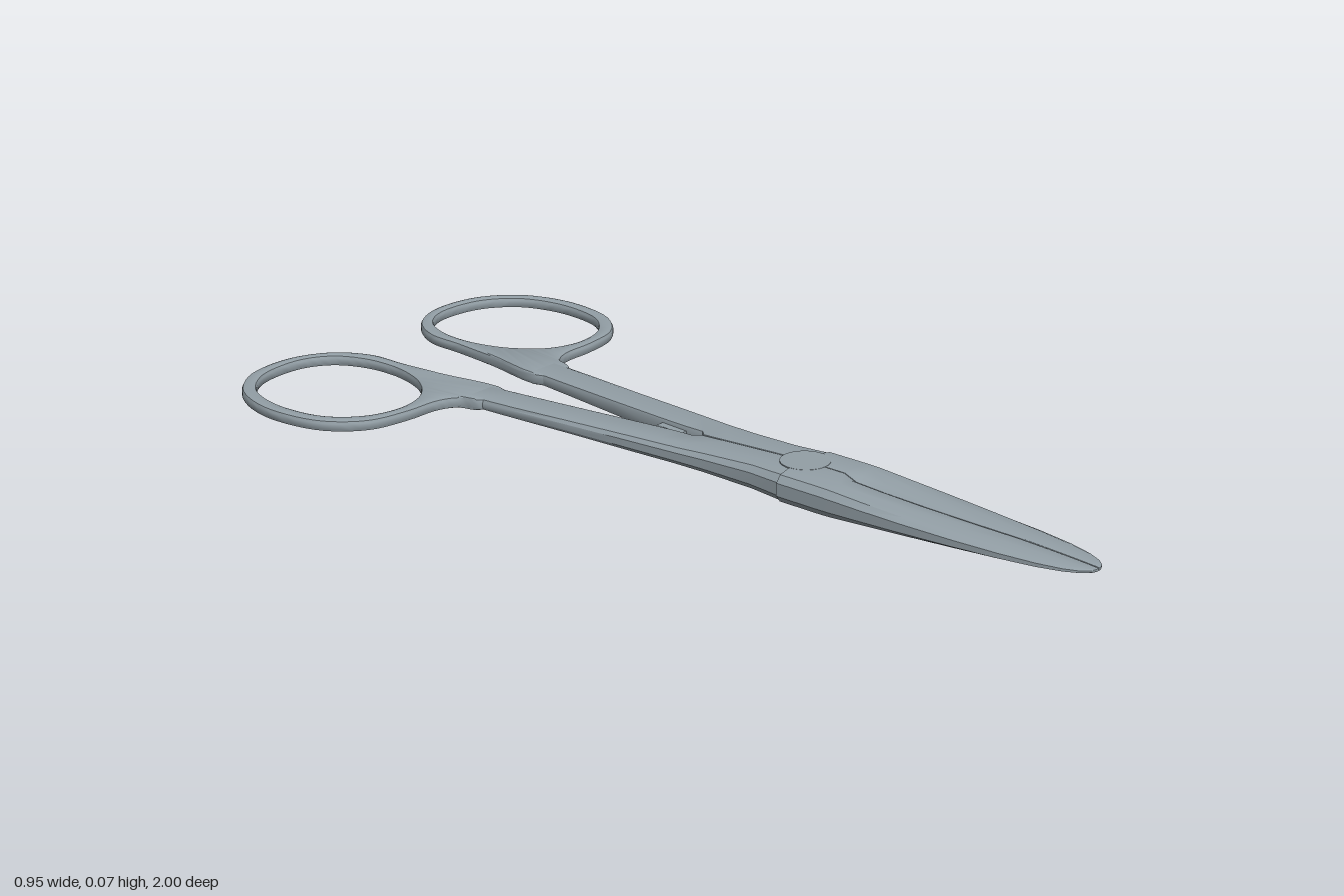
import * as THREE from 'three';
import { toCreasedNormals } from 'three/addons/utils/BufferGeometryUtils.js';

const MID = 0.0355; // height of the middle plane

// Rounded section from point a to point b (x, z), half height h,
// with corner sizes [run, rise] at each end.
function section(a, b, h, cornerA, cornerB) {
  const w = Math.hypot(b[0] - a[0], b[1] - a[1]);
  const top = [];
  for (let k = 0; k < 3; k++) {
    const t = (k * Math.PI) / 4;
    top.push([cornerA[0] * (1 - Math.cos(t)), h - cornerA[1] * (1 - Math.sin(t))]);
  }
  for (let k = 0; k < 3; k++) {
    const t = (k * Math.PI) / 4;
    top.push([w - cornerB[0] * (1 - Math.sin(t)), h - cornerB[1] * (1 - Math.cos(t))]);
  }
  const loop = top.concat(top.map(([d, y]) => [d, -y]).reverse());
  return loop.map(([d, y]) => {
    const f = d / w;
    return [a[0] + (b[0] - a[0]) * f, MID + y, a[1] + (b[1] - a[1]) * f];
  });
}

// Skin a list of sections; side = -1 mirrors the part in x.
function loft(sections, side, closed, reversed) {
  const n = sections[0].length, m = sections.length;
  const position = sections.flat().flatMap(([x, y, z]) => [x * side, y, z]);
  const index = [];
  const flip = (side < 0) !== reversed;
  const tri = (a, b, c) => (flip ? index.push(a, c, b) : index.push(a, b, c));
  for (let i = 0; i < (closed ? m : m - 1); i++) {
    const p = i * n, q = ((i + 1) % m) * n;
    for (let j = 0; j < n; j++) {
      const k = (j + 1) % n;
      tri(p + j, p + k, q + k);
      tri(p + j, q + k, q + j);
    }
  }
  if (!closed) {
    const e = (m - 1) * n;
    for (let j = 1; j < n - 1; j++) {
      tri(0, j + 1, j);
      tri(e, e + j, e + j + 1);
    }
  }
  const g = new THREE.BufferGeometry();
  g.setAttribute('position', new THREE.Float32BufferAttribute(position, 3));
  g.setIndex(index);
  return toCreasedNormals(g, 0.6);
}

// z, inner x, outer x, half height, outer bevel run, hollow run, hollow depth
const BLADE = [
  [1.0, 0.001, 0.008, 0.003, 0.004, 0.001, 0.001],
  [0.994, 0.001, 0.02, 0.004, 0.01, 0.001, 0.001],
  [0.98, 0.001, 0.033, 0.005, 0.018, 0.001, 0.001],
  [0.95, 0.001, 0.047, 0.007, 0.026, 0.001, 0.001],
  [0.9, 0.001, 0.06, 0.0095, 0.034, 0.001, 0.001],
  [0.82, 0.001, 0.072, 0.013, 0.04, 0.004, 0.001],
  [0.72, 0.001, 0.081, 0.017, 0.04, 0.02, 0.004],
  [0.6, 0.001, 0.088, 0.023, 0.04, 0.035, 0.008],
  [0.5, 0.001, 0.091, 0.029, 0.04, 0.045, 0.011],
  [0.43, 0.001, 0.092, 0.034, 0.04, 0.05, 0.012],
  [0.4, 0.001, 0.092, 0.035, 0.04, 0.004, 0.001],
  [0.3, 0.001, 0.092, 0.035, 0.04, 0.002, 0.001],
];
const SHANK = [
  [0.3, 0.001, 0.088, 0.034, 0.038, 0.002, 0.001],
  [0.22, 0.001, 0.081, 0.031, 0.035, 0.002, 0.001],
  [0.1, 0.001, 0.086, 0.025, 0.03, 0.003, 0.002],
  [0.03, 0.001, 0.092, 0.022, 0.026, 0.004, 0.004],
  [0.015, 0.014, 0.093, 0.0218, 0.026, 0.004, 0.004],
  [-0.03, 0.015, 0.097, 0.021, 0.024, 0.004, 0.004],
  [-0.1, 0.02, 0.103, 0.02, 0.022, 0.006, 0.006],
  [-0.25, 0.035, 0.116, 0.017, 0.018, 0.006, 0.006],
  [-0.4, 0.05, 0.13, 0.0145, 0.012, 0.006, 0.006],
  [-0.52, 0.062, 0.139, 0.013, 0.008, 0.006, 0.006],
];
const bar = (rows) => rows.map(([z, x0, x1, h, run, hr, hd]) =>
  section([x0, z], [x1, z], h, [hr, hd], [run, h * 0.6]));

// Finger ring: hole x, z and matching outer x, z, including the gusset to the shank
const RING = [
  [0.44, -0.76, 0.473, -0.76], [0.42, -0.665, 0.447, -0.645],
  [0.36, -0.602, 0.38, -0.574], [0.28, -0.582, 0.285, -0.552],
  [0.215, -0.598, 0.2, -0.548], [0.175, -0.628, 0.156, -0.525],
  [0.15, -0.66, 0.138, -0.48], [0.135, -0.69, 0.06, -0.48],
  [0.12, -0.74, 0.076, -0.66], [0.115, -0.79, 0.085, -0.78],
  [0.122, -0.86, 0.09, -0.87], [0.152, -0.925, 0.128, -0.943],
  [0.2, -0.96, 0.188, -0.985], [0.26, -0.97, 0.26, -1.0],
  [0.34, -0.955, 0.355, -0.983], [0.403, -0.905, 0.428, -0.925],
  [0.432, -0.84, 0.463, -0.85],
];

function ringSections() {
  const curve = (o) => new THREE.CatmullRomCurve3(
    RING.map((r) => new THREE.Vector3(r[o], 0, r[o + 1])), true);
  const inner = curve(0), outer = curve(2), out = [];
  const count = RING.length * 5;
  for (let i = 0; i < count; i++) {
    const a = inner.getPoint(i / count), b = outer.getPoint(i / count);
    out.push(section([a.x, a.z], [b.x, b.z], 0.013, [0.009, 0.007], [0.009, 0.007]));
  }
  return out;
}

export function createModel() {
  const model = new THREE.Group();
  model.name = 'scissors';
  const steel = new THREE.MeshStandardMaterial({ color: 0x939fa6 });
  steel.name = 'brushed steel';

  const add = (parent, name, geometry) => {
    const mesh = new THREE.Mesh(geometry, steel);
    mesh.name = name;
    parent.add(mesh);
    return mesh;
  };

  // Two mirrored halves
  for (const [side, label] of [[1, 'left'], [-1, 'right']]) {
    const half = new THREE.Group();
    half.name = label + 'Half';
    model.add(half);
    add(half, label + 'Blade', loft(bar(BLADE), side, false, false));
    add(half, label + 'Shank', loft(bar(SHANK), side, false, false));
    add(half, label + 'FingerRing', loft(ringSections(), side, true, true));
    // Stop lug that closes the slot between the shanks
    add(half, label + 'StopLug', new THREE.BoxGeometry(0.028, 0.02, 0.07))
      .position.set(side * 0.0145, MID, -0.065);
  }

  // Flush pivot pin
  add(model, 'pivotPin', new THREE.CylinderGeometry(0.052, 0.052, 0.071, 32))
    .position.set(0, MID, 0.3);

  return model;
}
